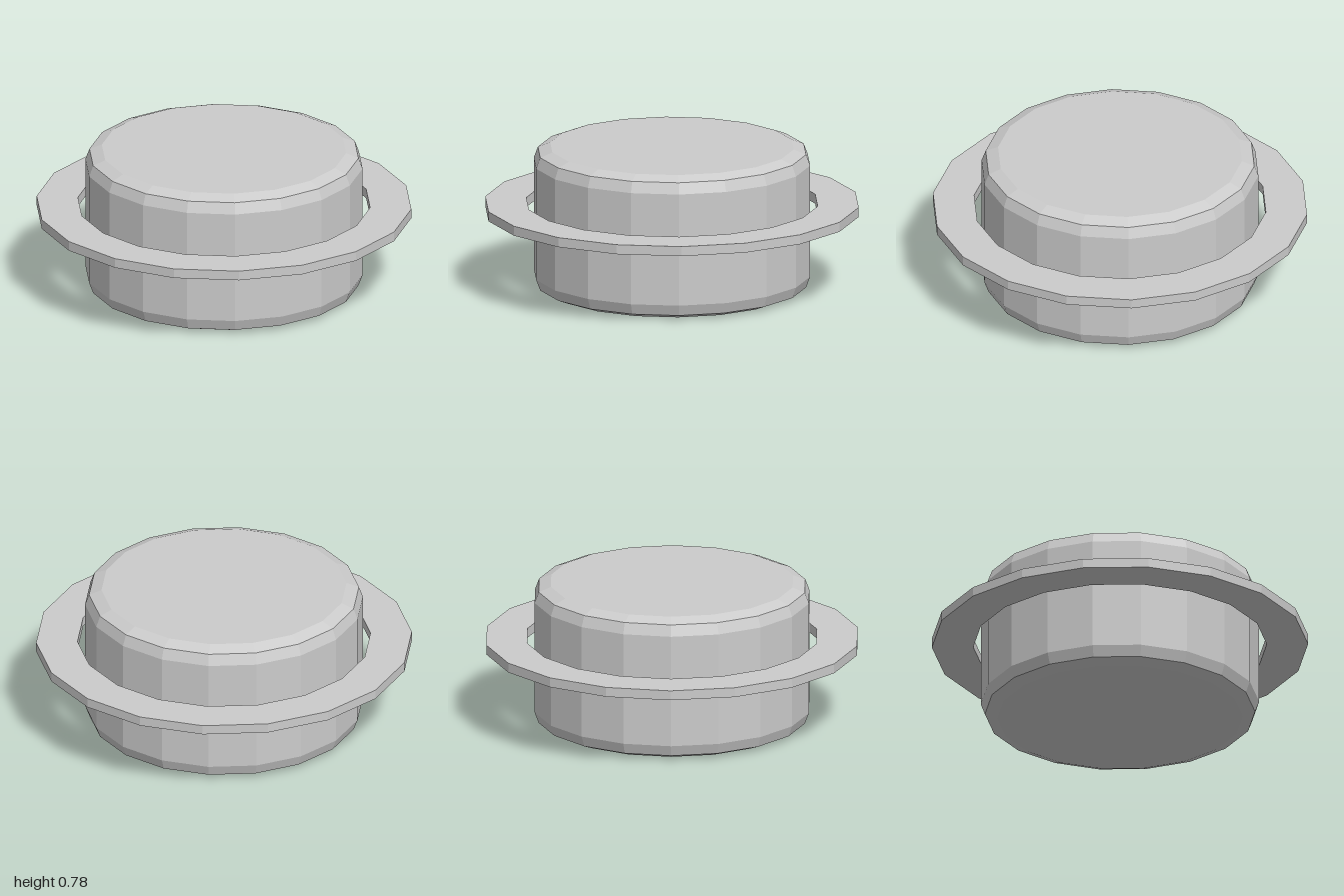
import * as THREE from 'three';

const SIDES = 18;

// Faceted solid of revolution from [radius, height] points
function turned(name, profile) {
  const points = profile.map(([r, y]) => new THREE.Vector2(r, y));
  const material = new THREE.MeshStandardMaterial({ color: 0xcccccc, flatShading: true });
  const mesh = new THREE.Mesh(new THREE.LatheGeometry(points, SIDES), material);
  mesh.name = name;
  return mesh;
}

export function createModel() {
  const group = new THREE.Group();
  group.name = 'ringedDrum';

  // Drum with two-step bevels, mirrored top and bottom
  const height = 0.778;
  const lower = [[0, 0], [0.652, 0], [0.718, 0.026], [0.74, 0.085]];
  const upper = lower.map(([r, y]) => [r, height - y]).reverse();
  group.add(turned('drum', [...lower, ...upper]));

  // Flat ring floating around the drum
  const inner = 0.78, outer = 1, bottom = 0.42, top = 0.472;
  group.add(turned('ring', [
    [inner, bottom], [outer, bottom], [outer, top], [inner, top], [inner, bottom],
  ]));

  return group;
}
